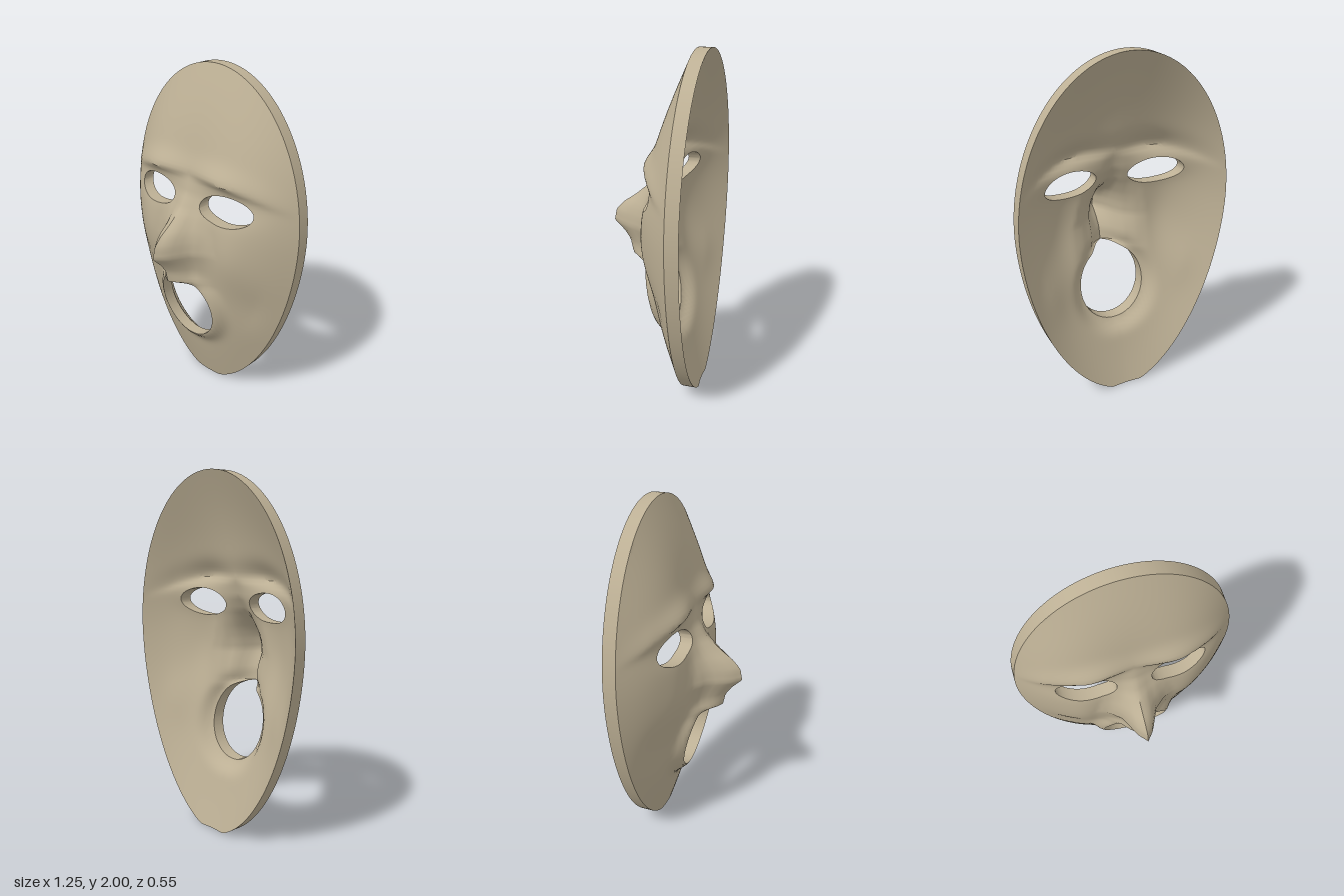
import * as THREE from 'three';
import { toCreasedNormals } from 'three/addons/utils/BufferGeometryUtils.js';

const CELL = 0.02, THICKNESS = 0.073, HALF_WIDTH = 0.623;
const bell = (d, s) => Math.exp(-(d * d) / (s * s));

// Piecewise-linear lookup through [position, value] points in rising order
function lookup(points, p) {
  if (p <= points[0][0]) return points[0][1];
  for (let i = 1; i < points.length; i++) {
    const [p0, v0] = points[i - 1], [p1, v1] = points[i];
    if (p <= p1) return v0 + ((v1 - v0) * (p - p0)) / (p1 - p0);
  }
  return points[points.length - 1][1];
}

// Egg outline: 0 at the middle, 1 on the rim
function outlineRadius(x, y) {
  const upper = y > 1.13, n = upper ? 2 : 1.8, b = upper ? 0.87 : 1.15;
  return Math.pow(Math.pow(Math.abs(x) / HALF_WIDTH, n) + Math.pow(Math.abs(y - 1.13) / b, n), 1 / n);
}
// Openings: 1 on the edge of the hole
const mouthRadius = (x, y) => Math.hypot(x / 0.2, (y - 0.598) / 0.22);
const eyeRadius = (x, y) => Math.hypot((Math.abs(x) - 0.26) / 0.163, (y - 1.276) / 0.081);
// Positive where there is material
const solid = (x, y) => Math.min(1 - outlineRadius(x, y), y, mouthRadius(x, y) - 1, eyeRadius(x, y) - 1);

// Nose ridge seen from the side (ends sunk below the face), and its falloff to the sides
const noseRidge = [[0.3, -0.4], [0.6, -0.02], [0.7, 0.04], [0.78, 0.075], [0.82, 0.165], [0.89, 0.18],
  [0.94, 0.215], [1.0, 0.275], [1.07, 0.262], [1.12, 0.215], [1.17, 0.145], [1.24, 0.065], [1.32, 0.015],
  [1.42, -0.01], [1.6, -0.4]];
const noseSide = [[0, 1], [0.045, 0.8], [0.1, 0.34], [0.17, 0.1], [0.23, 0]];

// Height of the front of the mask
function relief(x, y) {
  const ax = Math.abs(x), r = outlineRadius(x, y);
  const sideways = r > 1e-6 ? Math.pow(ax / HALF_WIDTH / r, 2) : 0;
  let z = -0.2 + 0.225 * Math.tanh(((0.37 + 0.25 * sideways) * (1 - r)) / 0.225);
  const fade = Math.min(1, Math.max(0, (1 - r) * 5));
  // brow with a sharp lower edge, eye sockets, cheeks and hollows
  const browLine = 1.435 - 0.5 * Math.pow(Math.max(0, ax - 0.12), 2);
  const d = y - browLine;
  z += fade * 0.038 * bell(d, d > 0 ? 0.07 : 0.03) * (0.4 + 0.6 * bell(ax - 0.23, 0.15));
  z -= fade * 0.03 * bell(ax - 0.26, 0.17) * bell(y - 1.31, 0.075);
  z += fade * 0.022 * bell(ax - 0.3, 0.11) * bell(y - 1.0, 0.2);
  z -= fade * 0.015 * bell(ax - 0.42, 0.12) * bell(y - 0.68, 0.16);
  // raised lip
  z += 0.055 * bell(Math.max(0, mouthRadius(x, y) - 1), 0.22);
  // nose
  const width = lookup([[1.0, 1], [1.3, 0.7]], y);
  z += Math.max(0, lookup(noseRidge, y) - z) * lookup(noseSide, ax / width);
  return z;
}

// Point where the edge from a to b leaves the material
function crossing(a, b) {
  let lo = 0, hi = 1;
  const at = (t) => [a[0] + (b[0] - a[0]) * t, a[1] + (b[1] - a[1]) * t];
  for (let i = 0; i < 18; i++) {
    const mid = (lo + hi) / 2;
    if (solid(...at(mid)) > 0) lo = mid; else hi = mid;
  }
  return at(hi);
}

function buildShell() {
  const pos = [];
  const front = ([x, y]) => [x, y, relief(x, y)];
  const back = ([x, y]) => [x, y, relief(x, y) - THICKNESS];
  const tri = (a, b, c) => pos.push(...a, ...b, ...c);

  // Trim one triangle to the outline and openings, then add front, back and edge wall
  function addTrimmed(corners) {
    const inside = corners.map((p) => solid(p[0], p[1]) > 0);
    if (!inside.some(Boolean)) return;
    const poly = [];
    let exit = null, entry = null;
    corners.forEach((a, i) => {
      const j = (i + 1) % 3, b = corners[j];
      if (inside[i]) poly.push(a);
      if (inside[i] && !inside[j]) poly.push((exit = crossing(a, b)));
      if (!inside[i] && inside[j]) poly.push((entry = crossing(b, a)));
    });
    for (let i = 1; i < poly.length - 1; i++) {
      tri(front(poly[0]), front(poly[i]), front(poly[i + 1]));
      tri(back(poly[0]), back(poly[i + 1]), back(poly[i]));
    }
    if (exit && entry) {
      tri(front(exit), back(exit), back(entry));
      tri(front(exit), back(entry), front(entry));
    }
  }

  // Mirrored grid over the whole face
  for (let i = -32; i < 32; i++) {
    for (let j = 0; j < 101; j++) {
      const x0 = i * CELL, x1 = x0 + CELL, y0 = j * CELL, y1 = y0 + CELL;
      const a = [x0, y0], b = [x1, y0], c = [x1, y1], d = [x0, y1];
      if (i < 0) { addTrimmed([a, b, c]); addTrimmed([a, c, d]); }
      else { addTrimmed([a, b, d]); addTrimmed([b, c, d]); }
    }
  }
  const geometry = new THREE.BufferGeometry();
  geometry.setAttribute('position', new THREE.Float32BufferAttribute(pos, 3));
  return toCreasedNormals(geometry, 0.7);
}

export function createModel() {
  const group = new THREE.Group();
  group.name = 'mask';
  const material = new THREE.MeshStandardMaterial({ color: 0xbdb095 });
  const shell = new THREE.Mesh(buildShell(), material);
  shell.name = 'maskShell';
  group.add(shell);
  return group;
}
